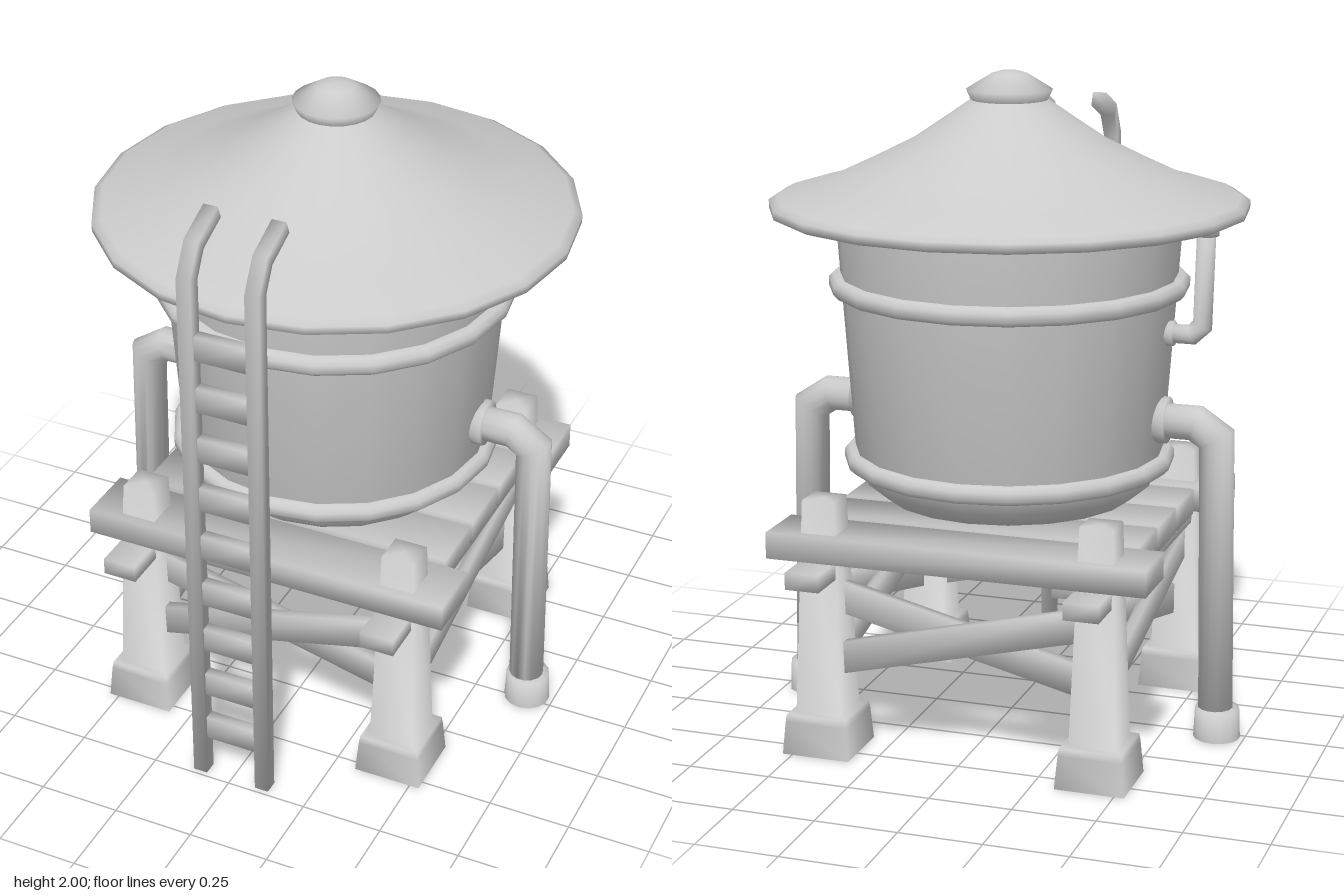
import * as THREE from 'three';
import { toCreasedNormals } from 'three/addons/utils/BufferGeometryUtils.js';

const ZC = -0.022; // depth of the tower's centre line

export function createModel() {
  const root = new THREE.Group();
  root.name = 'waterTower';
  const mat = new THREE.MeshStandardMaterial({ color: 0xcccccc });
  const openMat = new THREE.MeshStandardMaterial({ color: 0xcccccc, side: THREE.DoubleSide });

  // Every part is softly shaded across its edges
  function add(name, geo, x = 0, y = 0, z = 0, material = mat) {
    const mesh = new THREE.Mesh(toCreasedNormals(geo, Math.PI), material);
    mesh.name = name;
    mesh.position.set(x, y, z);
    root.add(mesh);
    return mesh;
  }
  const box = (name, w, h, d, x, y, z) => add(name, new THREE.BoxGeometry(w, h, d), x, y, z);
  const latheGeo = (pts, sides) =>
    new THREE.LatheGeometry(pts.map(([r, y]) => new THREE.Vector2(r, y)), sides);
  const lathe = (name, pts) => add(name, latheGeo(pts, 20), 0, 0, ZC);

  // Tube with mitred corners along a planar path (planeNormal is the plane's normal)
  function pipe(name, points, radius, planeNormal, sides) {
    const pts = points.map((p) => new THREE.Vector3(...p));
    const n = new THREE.Vector3(...planeNormal);
    const pos = [], idx = [], last = pts.length - 1;
    pts.forEach((p, i) => {
      const a = pts[Math.max(i - 1, 0)], b = pts[Math.min(i + 1, last)];
      const tIn = (i ? p.clone().sub(a) : b.clone().sub(p)).normalize();
      const tOut = (i < last ? b.clone().sub(p) : p.clone().sub(a)).normalize();
      const t = tIn.clone().add(tOut).normalize();
      const side = n.clone().cross(t).multiplyScalar(1 / t.dot(tIn));
      for (let k = 0; k < sides; k++) {
        const ang = ((k + 0.5) / sides) * Math.PI * 2;
        const v = p.clone().addScaledVector(side, Math.sin(ang) * radius)
          .addScaledVector(n, Math.cos(ang) * radius);
        pos.push(v.x, v.y, v.z);
      }
    });
    for (let i = 0; i < last; i++) {
      for (let k = 0; k < sides; k++) {
        const a = i * sides + k, b = i * sides + ((k + 1) % sides);
        idx.push(a, a + sides, b, b, a + sides, b + sides);
      }
    }
    // End caps
    for (let k = 1; k < sides - 1; k++) {
      const e = last * sides;
      idx.push(0, k, k + 1, e, e + k + 1, e + k);
    }
    const g = new THREE.BufferGeometry();
    g.setAttribute('position', new THREE.Float32BufferAttribute(pos, 3));
    g.setIndex(idx);
    return add(name, g);
  }

  // Tank with rounded bottom and two hoops
  lathe('tank', [[0, 0.685], [0.28, 0.69], [0.38, 0.72], [0.44, 0.77], [0.466, 0.83], [0.521, 1.6]]);
  for (const [y, r] of [[0.838, 0.47], [1.371, 0.51]]) {
    lathe('hoop', [[r - 0.02, y - 0.028], [r + 0.018, y - 0.026], [r + 0.031, y - 0.012],
      [r + 0.031, y + 0.012], [r + 0.018, y + 0.026], [r - 0.02, y + 0.028]]);
  }

  // Flared roof with rolled rim, flat underside and cap
  lathe('roof', [[0.7, 1.585], [0.715, 1.592], [0.716, 1.616], [0.69, 1.63], [0.553, 1.667],
    [0.43, 1.725], [0.3, 1.79], [0.2, 1.857], [0.1, 1.925]]);
  lathe('roofUnderside', [[0, 1.585], [0.7, 1.585]]);
  lathe('roofCap', [[0.09, 1.9], [0.108, 1.9], [0.128, 1.945], [0.055, 1.99], [0.03, 1.998], [0, 2]]);

  // Deck: two beams front to back, five planks across
  for (const s of [-1, 1]) box('deckBeam', 0.105, 0.052, 1.27, s * 0.422, 0.574, ZC);
  for (let i = -2; i <= 2; i++) {
    box('deckPlank', Math.abs(i) === 2 ? 1.16 : 1.0, 0.08, 0.193, 0, 0.64, ZC + i * 0.216);
  }

  // Square tapered legs with footings, open underneath
  const LX = 0.425, LZ = 0.447;
  const legProfile = [[0.105, 0], [0.097, 0.1], [0.094, 0.123], [0.072, 0.126], [0.05, 0.78], [0, 0.78]];
  for (const sx of [-1, 1]) {
    for (const sz of [-1, 1]) {
      const geo = latheGeo(legProfile.map(([half, y]) => [half * Math.SQRT2, y]), 4).rotateY(Math.PI / 4);
      add('leg', geo, sx * LX, 0, ZC + sz * LZ, openMat);
    }
  }

  // Crossed braces on all four sides
  const tilt = Math.atan2(0.175, 0.72);
  for (const s of [-1, 1]) {
    for (const d of [-1, 1]) {
      box('crossBrace', 0.84, 0.095, 0.03, 0, 0.385, ZC + s * LZ + d * 0.015).rotation.z = d * tilt;
      box('crossBrace', 0.03, 0.095, 0.86, s * LX + d * 0.015, 0.385, ZC).rotation.x = d * tilt;
    }
  }

  // Ladder with square hooked rails
  for (const s of [-1, 1]) {
    const x = s * 0.103;
    pipe('ladderRail', [[x, 0, 0.713], [x, 1.715, 0.713], [x, 1.8, 0.666], [x, 1.847, 0.555]],
      0.031, [1, 0, 0], 4);
  }
  for (let i = 0; i < 9; i++) box('ladderRung', 0.18, 0.078, 0.034, 0, 0.17 + i * 0.167, 0.708);

  // Large side pipes with foot collar and tank flange
  for (const s of [-1, 1]) {
    pipe('sidePipe', [[s * 0.66, 0.05, ZC], [s * 0.647, 0.935, ZC], [s * 0.582, 0.978, ZC], [s * 0.44, 0.978, ZC]],
      0.053, [0, 0, 1], 14);
    add('pipeFoot', latheGeo([[0.071, 0], [0.067, 0.094], [0.045, 0.096]], 14), s * 0.665, 0, ZC, openMat);
    add('pipeFlange', new THREE.CylinderGeometry(0.07, 0.07, 0.06, 14).rotateZ(Math.PI / 2), s * 0.468, 0.98, ZC);
  }

  // Small overflow pipe under the eave
  pipe('overflowPipe', [[-0.605, 1.59, ZC], [-0.597, 1.275, ZC], [-0.565, 1.245, ZC], [-0.47, 1.245, ZC]],
    0.029, [0, 0, 1], 10);
  add('overflowCollar', new THREE.CylinderGeometry(0.038, 0.036, 0.045, 10), -0.605, 1.565, ZC);
  add('overflowFlange', new THREE.CylinderGeometry(0.038, 0.038, 0.05, 10).rotateZ(Math.PI / 2), -0.488, 1.245, ZC);

  return root;
}
